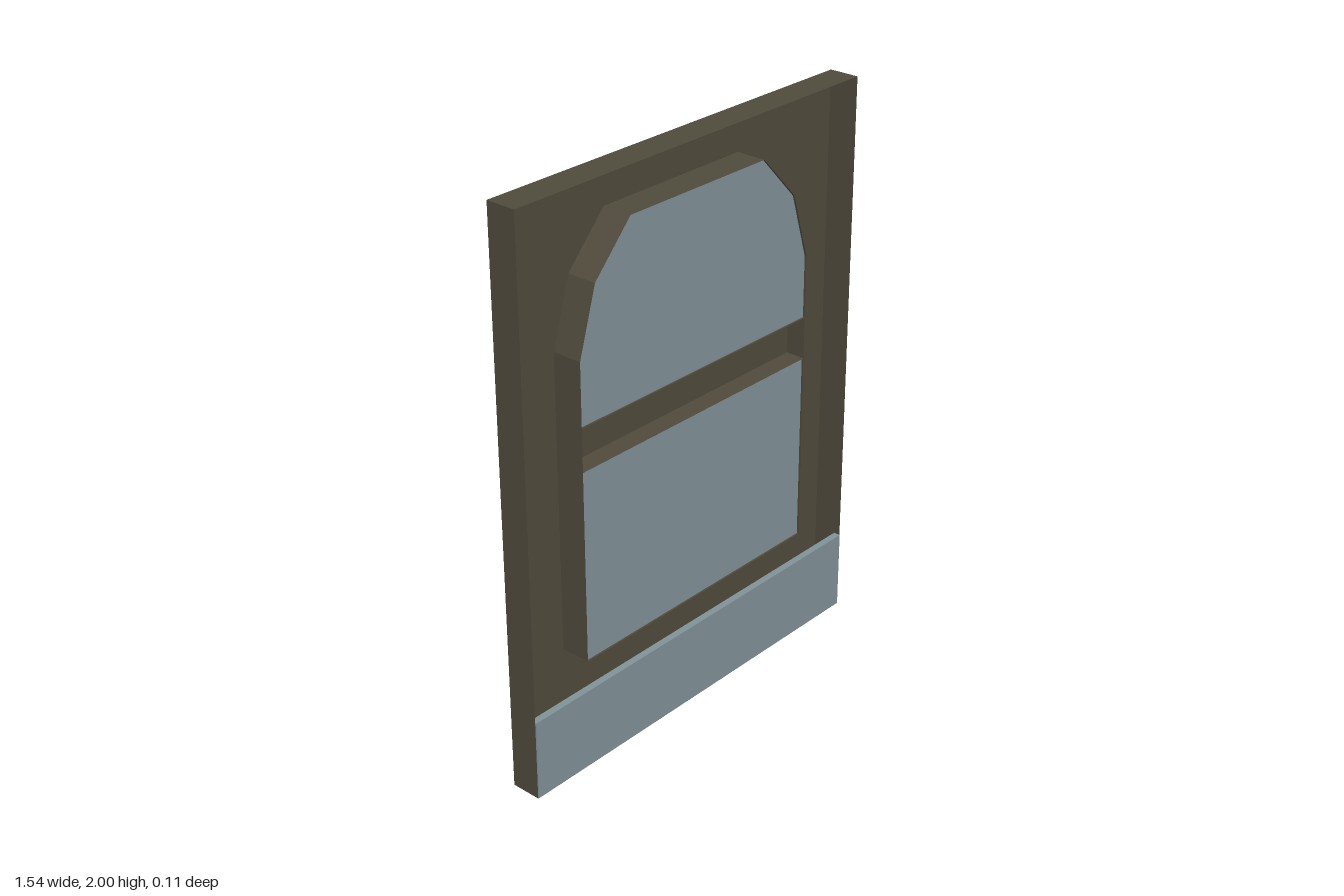
import * as THREE from 'three';

const BACK = -0.055, FRONT = 0.053, GLASS = 0.046, BAR_BACK = -0.018;
const W = 0.77, H = 2, OPEN = 0.53, BAR_LOW = 1.08, BAR_HIGH = 1.23;

// Closed band of flat walls following an outline from z0 to z1
function band(points, z0, z1) {
  const pos = [];
  points.forEach(([ax, ay], i) => {
    const [bx, by] = points[(i + 1) % points.length];
    pos.push(ax, ay, z0, bx, by, z0, bx, by, z1);
    pos.push(ax, ay, z0, bx, by, z1, ax, ay, z1);
  });
  const g = new THREE.BufferGeometry();
  g.setAttribute('position', new THREE.Float32BufferAttribute(pos, 3));
  g.computeVertexNormals();
  return g;
}

const toVectors = (points) => points.map(([x, y]) => new THREE.Vector2(x, y));

export function createModel() {
  const model = new THREE.Group();
  model.name = 'archedWindowPanel';

  const frameMat = new THREE.MeshStandardMaterial({ color: 0x504b3c, side: THREE.DoubleSide });
  frameMat.name = 'dark olive frame';
  const glassMat = new THREE.MeshStandardMaterial({ color: 0x82949a, side: THREE.DoubleSide });
  glassMat.name = 'blue grey';

  const add = (name, geometry, material, x = 0, y = 0, z = 0) => {
    const mesh = new THREE.Mesh(geometry, material);
    mesh.name = name;
    mesh.position.set(x, y, z);
    model.add(mesh);
    return mesh;
  };

  const outline = [[-W, 0], [W, 0], [W, H], [-W, H]];
  const arch = [[OPEN, 1.45], [0.46, 1.68], [0.305, 1.845]];
  const archTop = [...arch, ...arch.map(([x, y]) => [-x, y]).reverse()];
  const opening = [[-OPEN, 0.4], [OPEN, 0.4], ...archTop];

  // Back plate with the arched opening, its outer walls and the window reveal
  const plate = new THREE.Shape(toVectors(outline));
  plate.holes.push(new THREE.Path(toVectors(opening)));
  add('backPlate', new THREE.ShapeGeometry(plate).rotateY(Math.PI), frameMat, 0, 0, BACK);
  add('outerWalls', band(outline, BACK, FRONT), frameMat);
  add('windowReveal', band(opening, BACK, FRONT), frameMat);

  // Cross bar: a channel that is open to the front
  const barDepth = FRONT - BAR_BACK, barZ = (FRONT + BAR_BACK) / 2;
  const barBack = new THREE.PlaneGeometry(2 * OPEN, BAR_HIGH - BAR_LOW).rotateY(Math.PI);
  add('crossBarBack', barBack, frameMat, 0, (BAR_LOW + BAR_HIGH) / 2, BAR_BACK);
  for (const [name, y, turn] of [['crossBarTop', BAR_HIGH, -1], ['crossBarBottom', BAR_LOW, 1]]) {
    const side = new THREE.PlaneGeometry(2 * OPEN, barDepth).rotateX(turn * Math.PI / 2);
    add(name, side, frameMat, 0, y, barZ);
  }

  // Two panes, above and below the cross bar
  const panes = {
    lowerPane: [[-OPEN, 0.4], [OPEN, 0.4], [OPEN, BAR_LOW], [-OPEN, BAR_LOW]],
    upperPane: [[-OPEN, BAR_HIGH], [OPEN, BAR_HIGH], ...archTop],
  };
  for (const [name, points] of Object.entries(panes)) {
    add(name, new THREE.ShapeGeometry(new THREE.Shape(toVectors(points))), glassMat, 0, 0, GLASS);
  }

  // Kick board across the foot
  add('kickBoard', new THREE.BoxGeometry(2 * W - 0.004, 0.288, 0.025), glassMat, 0, 0.146, 0.0435);

  return model;
}
